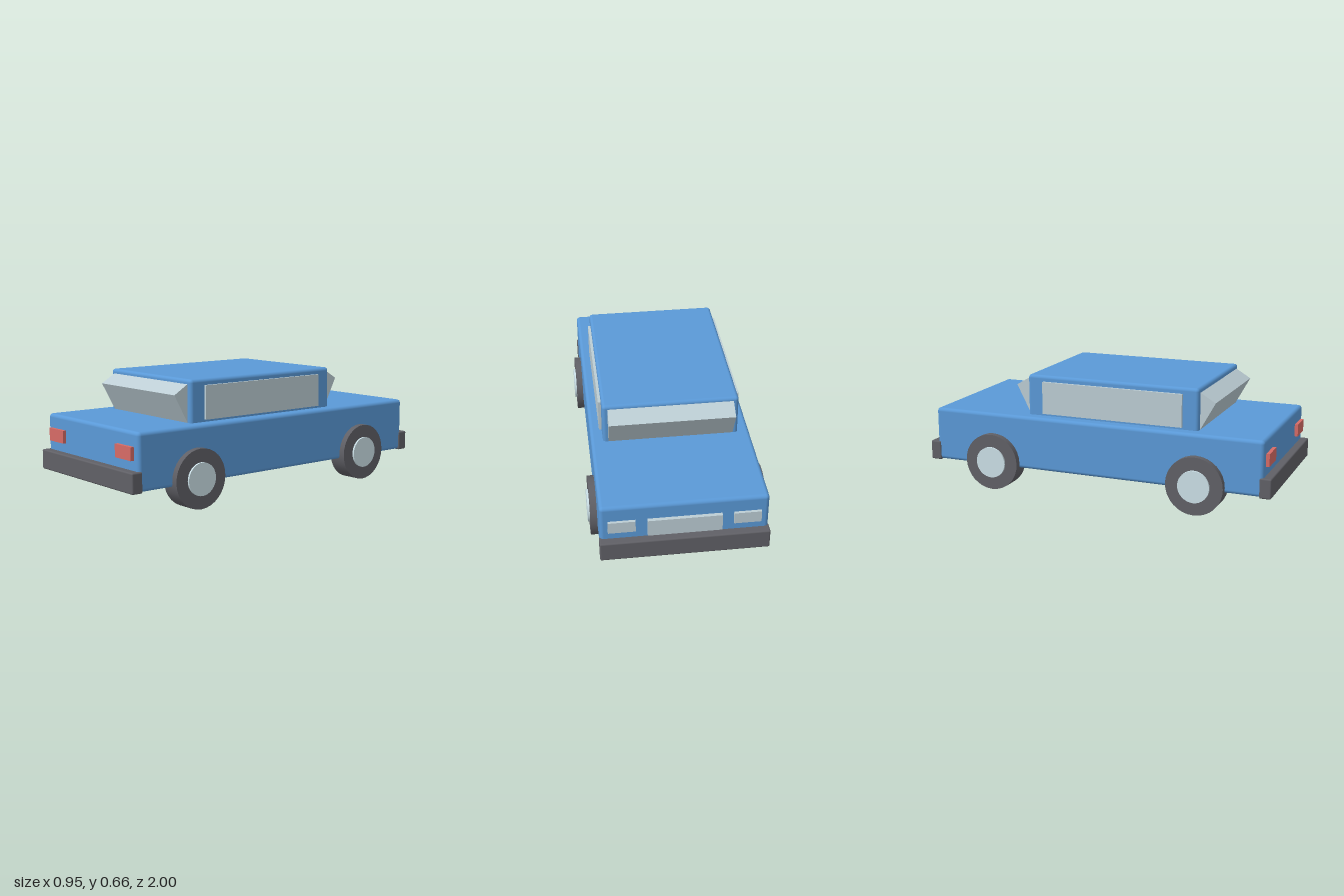
import * as THREE from 'three';
import { RoundedBoxGeometry } from 'three/addons/geometries/RoundedBoxGeometry.js';

const mat = (name, color) => {
  const m = new THREE.MeshStandardMaterial({ color });
  m.name = name;
  return m;
};

export function createModel() {
  const paint = mat('blue paint', 0x5a99d7);
  const glass = mat('pale glass', 0xbccdd4);
  const chrome = mat('hub silver', 0xcce1e8);
  const rubber = mat('dark rubber', 0x606066);
  const red = mat('red lens', 0xd66b66);

  const car = new THREE.Group();
  car.name = 'car';

  const add = (name, geometry, material) => {
    const mesh = new THREE.Mesh(geometry, material);
    mesh.name = name;
    car.add(mesh);
    return mesh;
  };
  // Box given by its [min, max] on each axis, rounded when r > 0
  const box = (name, material, [x0, x1], [y0, y1], [z0, z1], r = 0) => {
    const size = [x1 - x0, y1 - y0, z1 - z0];
    const geo = r ? new RoundedBoxGeometry(...size, 3, r) : new THREE.BoxGeometry(...size);
    add(name, geo, material).position.set((x0 + x1) / 2, (y0 + y1) / 2, (z0 + z1) / 2);
  };

  // Body shell and cabin
  box('body', paint, [-0.43, 0.43], [0.13, 0.43], [-0.957, 0.957], 0.02);
  box('cabin', paint, [-0.365, 0.365], [0.38, 0.655], [-0.403, 0.585], 0.018);

  // Bumpers
  box('frontBumper', rubber, [-0.435, 0.435], [0.126, 0.234], [0.937, 1], 0.008);
  box('rearBumper', rubber, [-0.435, 0.435], [0.126, 0.234], [-1, -0.937], 0.008);

  // Tilted windscreens: wedges standing out of the cabin ends
  const wedge = (name, zWall, zTip, yTip, yTop) => {
    const s = Math.sign(zWall);
    const profile = new THREE.Shape([
      new THREE.Vector2(Math.abs(zWall) - 0.03, 0.43),
      new THREE.Vector2(Math.abs(zWall), 0.43),
      new THREE.Vector2(Math.abs(zTip), yTip),
      new THREE.Vector2(Math.abs(zWall), yTop),
      new THREE.Vector2(Math.abs(zWall) - 0.03, yTop),
    ]);
    const geo = new THREE.ExtrudeGeometry(profile, { depth: 0.674, bevelEnabled: false });
    geo.translate(0, 0, -0.337).rotateY(-s * Math.PI / 2);
    add(name, geo, glass);
  };
  wedge('frontWindscreen', 0.585, 0.668, 0.58, 0.63);
  wedge('rearWindscreen', -0.403, -0.485, 0.587, 0.635);

  // Grille plate at the tail end
  box('rearGrille', glass, [-0.19, 0.19], [0.25, 0.345], [-0.977, -0.95]);

  for (const [side, s] of [['left', 1], ['right', -1]]) {
    const span = (a, b) => (s > 0 ? [a, b] : [-b, -a]);

    // Side window and lamps
    box(side + 'SideWindow', glass, span(0.35, 0.38), [0.443, 0.622], [-0.31, 0.497]);
    box(side + 'RedLamp', red, span(0.25, 0.39), [0.286, 0.355], [0.95, 0.976]);
    box(side + 'ClearLamp', glass, span(0.25, 0.39), [0.28, 0.345], [-0.972, -0.95]);

    // Wheels with hub caps
    for (const [end, z] of [['Front', 0.597], ['Rear', -0.593]]) {
      const tyre = new THREE.CylinderGeometry(0.158, 0.158, 0.106, 32).rotateZ(Math.PI / 2);
      add(side + end + 'Tyre', tyre, rubber).position.set(s * 0.412, 0.158, z);
      const hub = new THREE.CylinderGeometry(0.087, 0.087, 0.05, 32).rotateZ(Math.PI / 2);
      add(side + end + 'Hub', hub, chrome).position.set(s * 0.451, 0.158, z);
    }
  }
  return car;
}
